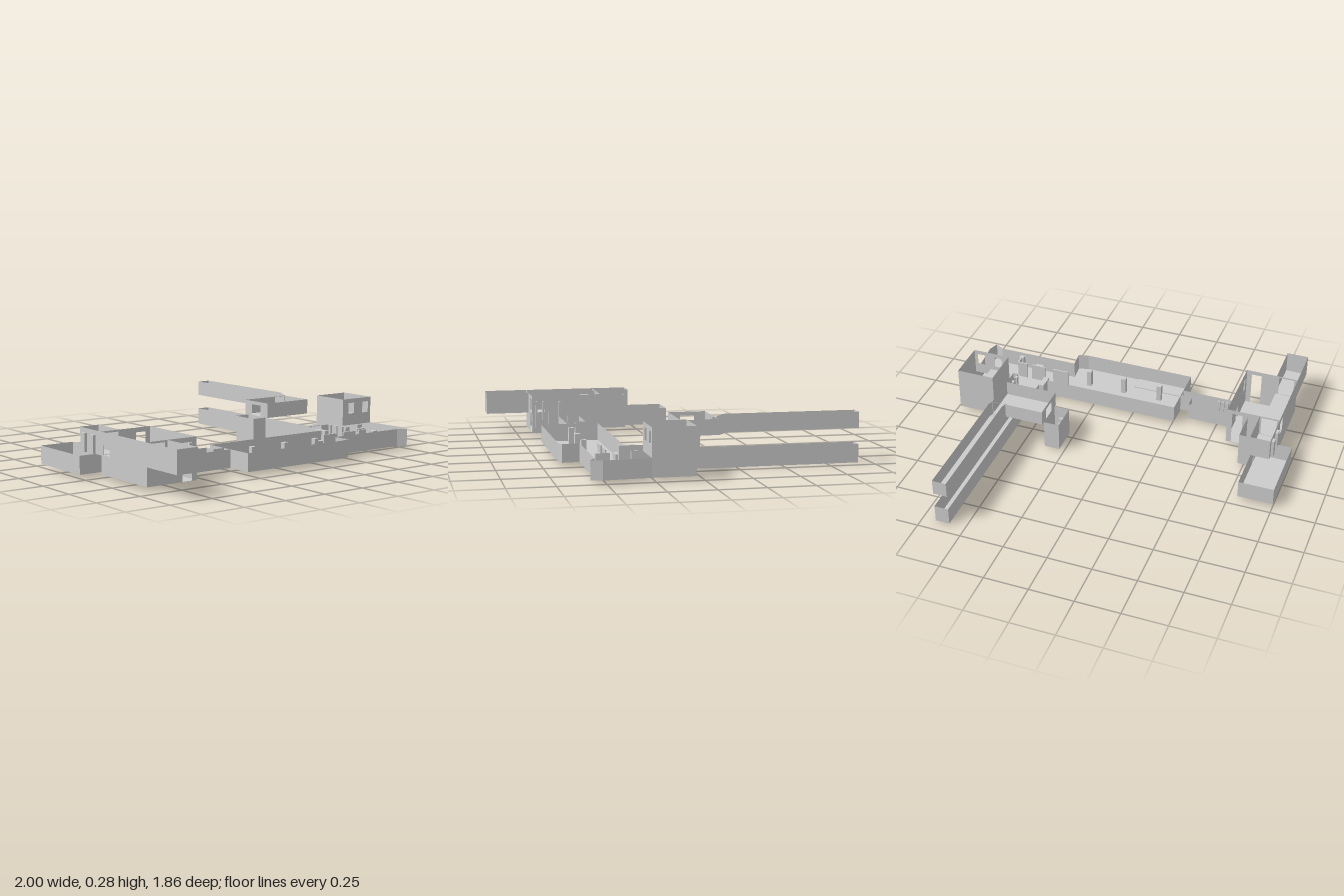
import * as THREE from 'three';

const mat = new THREE.MeshStandardMaterial({ color: 0xcccccc, side: THREE.DoubleSide, flatShading: true });

export function createModel() {
  const model = new THREE.Group();
  const add = (parent, name, geo) => {
    const m = new THREE.Mesh(geo, mat);
    m.name = name;
    parent.add(m);
    return m;
  };
  const group = (name) => {
    const g = new THREE.Group();
    g.name = name;
    model.add(g);
    return g;
  };
  const rect = (x0, z0, x1, z1) => [[x0, z0], [x0, z1], [x1, z1], [x1, z0]];

  // Flat floor from an [x, z] outline, with optional hole outlines
  function floor(parent, pts, y, holes = []) {
    const v = (p) => p.map(([x, z]) => new THREE.Vector2(x, -z));
    const s = new THREE.Shape(v(pts));
    holes.forEach((h) => s.holes.push(new THREE.Path(v(h))));
    add(parent, 'floor', new THREE.ShapeGeometry(s).rotateX(-Math.PI / 2)).position.y = y;
  }

  // Thin upright wall from a to b; openings are [distance0, distance1, y0, y1]
  function wall(parent, a, b, y0, y1, openings = []) {
    const dx = b[0] - a[0], dz = b[1] - a[1], len = Math.hypot(dx, dz);
    const box = (u0, u1, v0, v1) => [[u0, v0], [u1, v0], [u1, v1], [u0, v1]].map((p) => new THREE.Vector2(...p));
    const s = new THREE.Shape(box(0, len, y0, y1));
    openings.forEach(([u0, u1, v0, v1]) => s.holes.push(new THREE.Path(box(u0, u1, Math.max(v0, y0 + 0.001), v1))));
    const m = add(parent, 'wall', new THREE.ShapeGeometry(s));
    m.position.set(a[0], 0, a[1]);
    m.rotation.y = Math.atan2(-dz, dx);
  }

  // Roofless room: floor plus a wall per edge. edges[i] = null leaves edge i open,
  // a list gives its openings.
  function room(name, pts, y0, y1, edges = {}, holes = []) {
    const g = group(name);
    floor(g, pts, y0, holes);
    pts.forEach((p, i) => {
      if (edges[i] !== null) wall(g, p, pts[(i + 1) % pts.length], y0, y1, edges[i]);
    });
    return g;
  }

  // Roofless passage along z from sections [z, floorY, topY], closed at its far end
  function passage(name, x0, x1, sections) {
    const g = group(name), pos = [], idx = [];
    sections.forEach(([z, b, t]) => pos.push(x0, t, z, x0, b, z, x1, b, z, x1, t, z));
    for (let i = 0; i < sections.length - 1; i++)
      for (let k = 0; k < 3; k++) {
        const a = i * 4 + k;
        idx.push(a, a + 1, a + 5, a, a + 5, a + 4);
      }
    const geo = new THREE.BufferGeometry();
    geo.setAttribute('position', new THREE.Float32BufferAttribute(pos, 3));
    geo.setIndex(idx);
    geo.computeVertexNormals();
    add(g, 'trough', geo);
    const [z, b, t] = sections[sections.length - 1];
    wall(g, [x0, z], [x1, z], b, t);
  }

  function block(parent, name, x0, x1, y0, y1, z0, z1) {
    add(parent, name, new THREE.BoxGeometry(x1 - x0, y1 - y0, z1 - z0))
      .position.set((x0 + x1) / 2, (y0 + y1) / 2, (z0 + z1) / 2);
  }

  // Main hall with its wider and narrower halves
  const lo = 0.02, mid = 0.12;
  const hall = room('mainHall', [
    [-0.26, 0.33], [-0.26, 0.66], [0.40, 0.66], [0.46, 0.645], [0.45, 0.55], [0.93, 0.55], [0.98, 0.58],
    [1, 0.52], [0.98, 0.27], [0.76, 0.27], [0.76, 0.33], [0.73, 0.33], [0.73, 0.18], [0.57, 0.18], [0.57, 0.33],
  ], lo, mid, { 0: [[0.13, 0.175, lo, 0.1]], 8: null, 12: [[0.055, 0.135, lo, 0.118]] });
  [-0.11, 0.115, 0.335, 0.78].forEach((x) => block(hall, 'pillar', x - 0.014, x + 0.014, lo, mid, 0.495, 0.523));
  block(hall, 'floorStep', -0.26, 0.07, lo, 0.025, 0.575, 0.66);

  // Partitions and counters in the narrow half
  for (const [x0, x1] of [[0.45, 0.55], [0.60, 0.69], [0.72, 0.78]])
    block(hall, 'partition', x0, x1, lo, mid, 0.446, 0.454);
  block(hall, 'partition', 0.776, 0.784, lo, mid, 0.454, 0.495);
  block(hall, 'counter', 0.47, 0.55, lo, 0.07, 0.345, 0.375);
  block(hall, 'counter', 0.65, 0.70, lo, 0.06, 0.525, 0.55);
  block(hall, 'doorPost', 0.54, 0.57, lo, mid, 0.27, 0.36);
  for (const z of [0.19, 0.24, 0.29]) block(hall, 'doorPost', 0.72, 0.735, lo, mid, z, z + 0.02);

  // Tower with stairs rising from the hall
  const tower = group('tower'), top = 0.275;
  wall(tower, [0.76, 0.27], [0.98, 0.27], 0.12, top, [[0.045, 0.09, 0.185, 0.25], [0.155, 0.2, 0.185, 0.25]]);
  wall(tower, [0.76, 0.04], [0.76, 0.27], lo, top);
  wall(tower, [0.98, 0.27], [0.98, 0.04], lo, top);
  wall(tower, [0.98, 0.04], [0.76, 0.04], lo, top);
  floor(tower, rect(0.76, 0.04, 0.98, 0.11), 0.16);
  floor(tower, rect(0.76, 0.11, 0.88, 0.27), 0.16);
  wall(tower, [0.88, 0.11], [0.88, 0.27], lo, 0.16);
  for (let i = 0; i < 7; i++) {
    const z = 0.27 - i * 0.0229;
    block(tower, 'step', 0.88, 0.98, lo + i * 0.02, lo + (i + 1) * 0.02, z - 0.0229, z);
  }

  // Long stacked passages to the back
  passage('lowerPassage', 0.595, 0.675,
    [[0.18, lo, mid], [0.12, lo, mid], [0.05, 0, 0.1], [-0.93, 0, 0.1]]);
  passage('upperPassage', 0.595, 0.675,
    [[-0.14, 0.175, 0.26], [-0.155, 0.175, 0.26], [-0.2, 0.188, top], [-0.93, 0.188, top]]);

  // Upper room over the lower passage, with a stairwell at its side
  room('upperRoom', rect(0.37, -0.155, 0.675, 0.05), 0.175, 0.26,
    { 0: [[0.06, 0.14, 0.175, 0.24]], 3: [[0.003, 0.078, 0.175, 0.258]] });
  const well = room('stairwell', rect(0.28, -0.13, 0.37, 0.03), 0.005, 0.175);
  for (let i = 0; i < 5; i++)
    block(well, 'step', 0.28, 0.325, 0.005, 0.03 + i * 0.025, -0.09 + i * 0.018, -0.072 + i * 0.018);

  // Link between the hall and the west block
  const link = room('link', [
    [-0.6, 0.455], [-0.6, 0.51], [-0.26, 0.51], [-0.26, 0.455], [-0.33, 0.455], [-0.33, 0.39],
    [-0.58, 0.39], [-0.58, 0.455],
  ], lo, mid, { 0: null, 2: null });
  for (let i = 0; i < 4; i++) block(link, 'post', -0.565 + i * 0.025, -0.55 + i * 0.025, lo, 0.1, 0.5, 0.51);

  // West block: tall walls, doorways and a raised gallery
  const hi = 0.245;
  const west = room('westBlock', rect(-0.905, 0.255, -0.6, 0.67), lo, hi, {
    0: [[0.02, 0.08, 0.125, 0.21]],
    1: [[0.215, 0.275, lo, 0.22], [0.02, 0.11, 0.122, 0.235]],
    2: [[0.02, 0.075, 0.122, 0.205], [0.165, 0.21, lo, 0.1]],
    3: [[0.03, 0.09, lo, 0.22], [0.2, 0.29, 0.122, 0.235]],
  });
  floor(west, rect(-0.905, 0.255, -0.78, 0.67), mid);
  for (const z of [0.5, 0.565, 0.6, 0.64]) block(west, 'doorFrame', -0.6, -0.585, lo, 0.21, z, z + 0.01);

  // Rooms around the west block
  room('frontGallery', rect(-0.905, 0.67, -0.78, 0.925), mid, hi, { 3: null });
  const back = room('backGallery', rect(-0.905, 0.05, -0.79, 0.255), mid, hi,
    { 1: null, 2: [[0.05, 0.12, mid, 0.21]] });
  for (const z of [0.08, 0.165]) block(back, 'doorFrame', -0.92, -0.905, mid, 0.22, z, z + 0.035);
  const side = room('backStairs', rect(-0.79, 0.08, -0.72, 0.255), lo, 0.22, { 1: null });
  for (let i = 0; i < 5; i++)
    block(side, 'step', -0.79, -0.72, lo, 0.04 + i * 0.02, 0.22 - i * 0.025, 0.245 - i * 0.025);
  room('lowWestRoom', rect(-1, -0.2, -0.8, 0.195), lo, mid, { 2: [[0.05, 0.1, lo, 0.1]] });

  return model;
}
